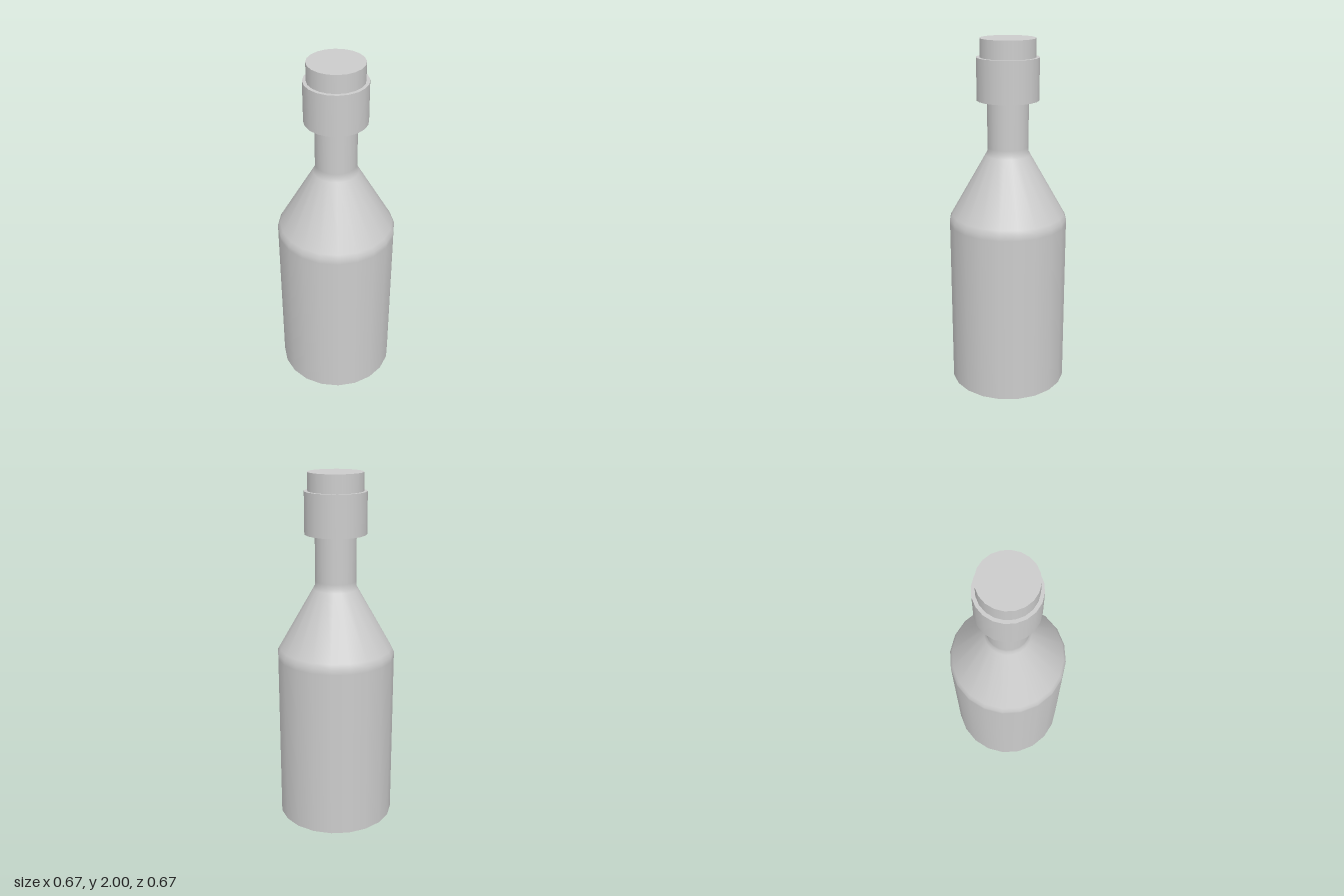
import * as THREE from 'three';

const SIDES = 20;
const material = new THREE.MeshStandardMaterial({ color: 0xcccccc });

function addPart(group, name, geometry, y = 0) {
  const mesh = new THREE.Mesh(geometry, material);
  mesh.name = name;
  mesh.position.y = y;
  group.add(mesh);
  return mesh;
}

// Upright cylinder between two heights
function addCylinder(group, name, radius, bottom, top) {
  const geometry = new THREE.CylinderGeometry(radius, radius, top - bottom, SIDES);
  return addPart(group, name, geometry, (bottom + top) / 2);
}

export function createModel() {
  const bottle = new THREE.Group();
  bottle.name = 'bottle';

  // Body, sloping shoulder and neck; close rings keep the bends tight but smooth
  const profile = [
    [0.333, 0], [0.333, 0.97], [0.333, 1.0], [0.319, 1.025],
    [0.126, 1.365], [0.115, 1.385], [0.115, 1.41], [0.115, 1.69],
  ].map(([r, y]) => new THREE.Vector2(r, y));
  addPart(bottle, 'glassBody', new THREE.LatheGeometry(profile, SIDES));

  // Flat underside, with corners matching the body
  const base = addPart(bottle, 'base', new THREE.CircleGeometry(0.333, SIDES));
  base.rotation.x = Math.PI / 2;

  // Wide lip around the mouth and the stopper in it
  addCylinder(bottle, 'lip', 0.172, 1.67, 1.9);
  addCylinder(bottle, 'stopper', 0.153, 1.85, 2.0);

  return bottle;
}
